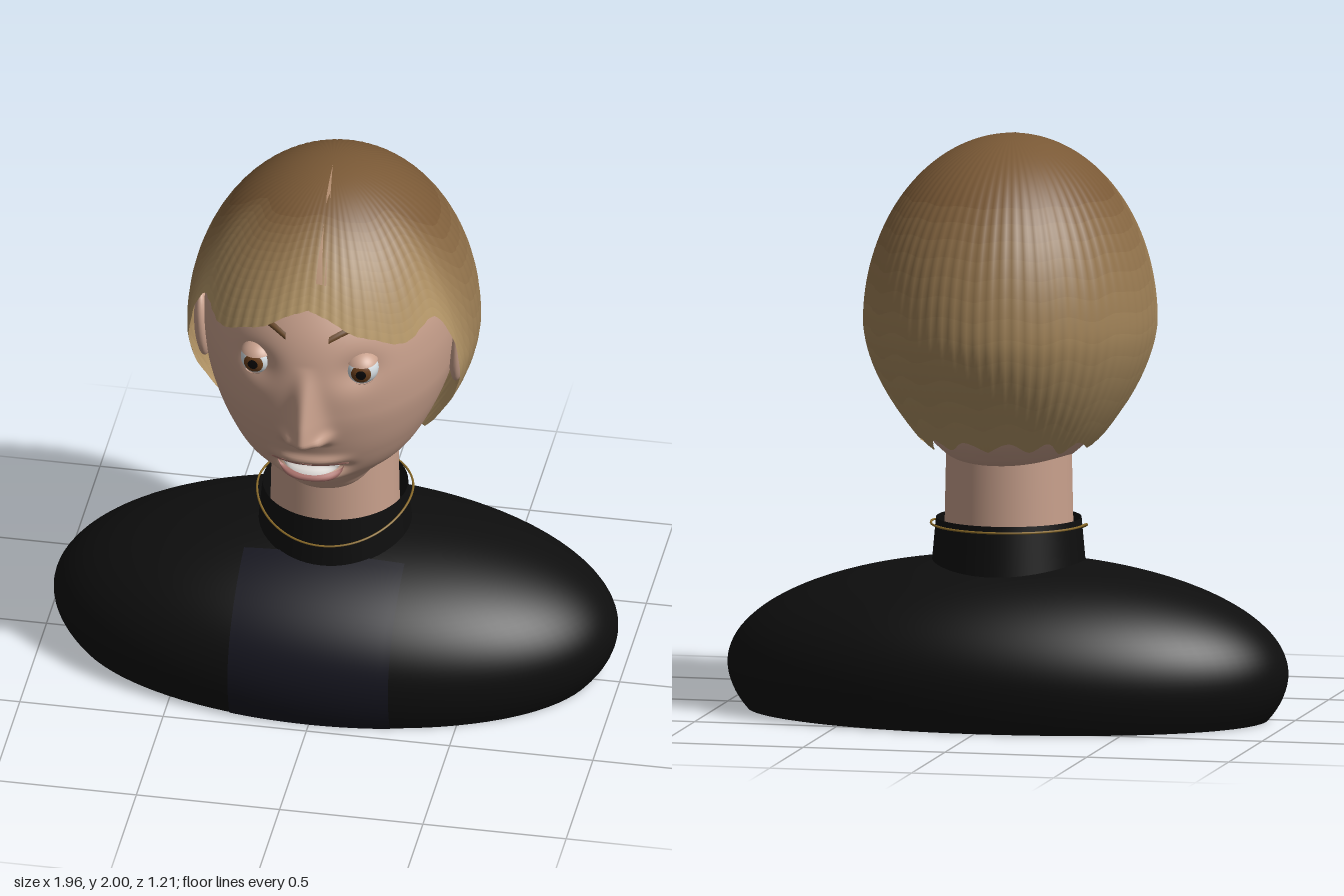
import * as THREE from 'three';

const { sin, cos, PI, exp, sqrt, max, min, abs } = Math;
const mat = (color) => new THREE.MeshStandardMaterial({ color, side: THREE.DoubleSide });
const SKIN = 0xc8a08c, BROWN = 0x6b4a2a, BLACK = 0x0e0e0e;

// Surface from a rule p(u, v); u runs to the right and v upwards as seen from outside
function surface(nu, nv, p, wrap = false) {
  const pos = [], idx = [], cols = wrap ? nu : nu + 1;
  for (let j = 0; j <= nv; j++)
    for (let i = 0; i < cols; i++) pos.push(...p(i / nu, j / nv));
  for (let j = 0; j < nv; j++)
    for (let i = 0; i < nu; i++) {
      const a = j * cols + i, b = j * cols + (i + 1) % cols;
      idx.push(a, b, b + cols, a, b + cols, a + cols);
    }
  const g = new THREE.BufferGeometry();
  g.setAttribute('position', new THREE.Float32BufferAttribute(pos, 3));
  g.setIndex(idx);
  g.computeVertexNormals();
  return g;
}

// Smooth interpolation of a table of rows [key, values...]
function table(rows) {
  return (k) => {
    let i = 0;
    while (i < rows.length - 2 && k > rows[i + 1][0]) i++;
    const A = rows[i], B = rows[i + 1], h = B[0] - A[0];
    const t = min(1, max(0, (k - A[0]) / h));
    const P = rows[max(0, i - 1)], N = rows[min(rows.length - 1, i + 2)];
    return A.slice(1).map((a, c) => {
      const b = B[c + 1];
      const m0 = (b - P[c + 1]) / (B[0] - P[0]) * h, m1 = (N[c + 1] - a) / (N[0] - A[0]) * h;
      return (2 * t ** 3 - 3 * t * t + 1) * a + (t ** 3 - 2 * t * t + t) * m0
        + (3 * t * t - 2 * t ** 3) * b + (t ** 3 - t * t) * m1;
    });
  };
}

// Head sections: height, half width, front z, back z
const section = table([
  [0.80, 0.02, 0.18, 0.14], [0.83, 0.12, 0.24, 0.03], [0.88, 0.19, 0.29, -0.24], [0.93, 0.25, 0.335, -0.33],
  [1.0, 0.31, 0.415, -0.39], [1.1, 0.365, 0.47, -0.455], [1.2, 0.405, 0.505, -0.51], [1.3, 0.43, 0.525, -0.54],
  [1.45, 0.44, 0.525, -0.55], [1.6, 0.42, 0.485, -0.51], [1.75, 0.35, 0.385, -0.4], [1.88, 0.23, 0.26, -0.27],
  [1.95, 0.1, 0.11, -0.11], [1.97, 0.01, 0.01, -0.01],
]);
const bell = (d, s) => exp(-((d / s) ** 2));

// Nose, eye sockets, lips and chin as relief on the face
function relief(x, y) {
  const ax = abs(x), r = min(1, max(0, (1.5 - y) / 0.27));
  const under = y < 1.23 ? max(0, 1 - ((1.23 - y) / 0.06) ** 2) : 1;
  const mouth = exp(-((x / 0.12) ** 4));
  return 0.095 * r ** 1.2 * under * bell(x, 0.03 + 0.025 * r)
    + 0.03 * bell(ax - 0.06, 0.025) * bell(y - 1.215, 0.025)
    - 0.025 * bell(ax - 0.175, 0.07) * bell(y - 1.47, 0.06)
    + mouth * (0.022 * bell(y - 1.09, 0.022) - 0.035 * bell(y - 1.045, 0.02) + 0.03 * bell(y - 0.99, 0.025))
    - 0.012 * bell(x, 0.12) * bell(y - 0.93, 0.02);
}
function headPoint(a, y) {
  const [w, f, b] = section(y), x = w * sin(a), c = cos(a);
  return [x, y, (f + b) / 2 + (f - b) / 2 * c + (c > 0 ? relief(x, y) * min(1, c * 2) : 0)];
}
function facePoint(x, y, lift) {
  const p = headPoint(Math.asin(x / section(y)[0]), y);
  p[2] += lift;
  return p;
}
// Patch lying on the face between two curves lo(x) and hi(x)
const facePatch = (x0, x1, lo, hi, lift, nu = 32) => surface(nu, 6, (u, v) => {
  const x = x0 + (x1 - x0) * u;
  return facePoint(x, lo(x) + (hi(x) - lo(x)) * v, lift + 0.005 * sin(PI * v));
});

// Lower edge of the hair: angle from the front in degrees, height
const hairEdge = table([
  [0, 1.7], [10, 1.67], [20, 1.62], [30, 1.59], [38, 1.56], [45, 1.555], [53, 1.585], [60, 1.585], [67, 1.475],
  [72, 1.316], [78, 1.157], [85, 0.99], [90, 0.96], [102, 0.935], [112, 0.955], [120, 0.965], [130, 0.93],
  [142, 0.975], [153, 0.945], [166, 0.98], [180, 0.945],
]);
function hairPoint(a, y) {
  const s = sqrt(max(0, 1 - ((y - 1.36) / 0.64) ** 2));
  const taper = 1 - 0.22 * (max(0, 1.36 - y) / 0.43) ** 1.6;
  const r = s * taper * (1 + 0.004 * sin(70 * a));
  return [0.5 * r * sin(a), y, -0.02 * s + 0.566 * r * cos(a)];
}

export function createModel() {
  const root = new THREE.Group();
  const add = (name, geo, color, parent = root) => {
    const m = new THREE.Mesh(geo, typeof color === 'number' ? mat(color) : color);
    m.name = name;
    parent.add(m);
    return m;
  };

  // Shoulders: an ellipsoid open at the base, with a front panel
  const low = Math.asin(0.16 / 0.43);
  add('torso', surface(96, 40, (u, v) => {
    const e = -low + (PI / 2 + low) * v, a = 2 * PI * u;
    return [0.98 * cos(e) * sin(a), 0.16 + (e < 0 ? 0.43 : 0.39) * sin(e), -0.055 + 0.55 * cos(e) * cos(a)];
  }, true), BLACK);
  add('frontPanel', surface(24, 30, (u, v) => {
    const x = -0.28 + 0.56 * u, q = sqrt(1 - (x / 0.98) ** 2), e0 = -Math.asin(0.16 / (0.43 * q));
    const e = e0 + (1.15 - e0) * v;
    return [x, 0.163 + (e < 0 ? 0.43 : 0.39) * q * sin(e) - 0.003 * (1 - v), -0.051 + 0.55 * q * cos(e)];
  }), 0x15151f);

  // Neck, collar and necklace
  add('neck', new THREE.CylinderGeometry(0.215, 0.225, 0.48, 64, 1, true), SKIN).position.set(0, 0.71, -0.04);
  add('collar', new THREE.CylinderGeometry(0.25, 0.268, 0.2, 64, 1, true), BLACK).position.set(0, 0.58, -0.043);
  const loop = [];
  for (let i = 0; i < 32; i++) {
    const a = i / 32 * 2 * PI;
    loop.push(new THREE.Vector3(0.268 * sin(a), 0.66 - 0.075 * max(0, cos(a)) ** 1.5, -0.04 + 0.27 * cos(a)));
  }
  add('necklace', new THREE.TubeGeometry(new THREE.CatmullRomCurve3(loop, true), 128, 0.004, 6, true), 0x8a6a28);

  // Head, with columns packed towards the face
  const head = new THREE.Group();
  head.name = 'head';
  root.add(head);
  add('face', surface(180, 150, (u, v) => {
    const t = 2 * PI * u;
    return headPoint(t - 0.55 * sin(t), 0.8 + 1.17 * v);
  }, true), SKIN, head);

  // Mouth
  const arc = (x, w) => sqrt(max(0, 1 - (x / w) ** 2));
  add('teeth', facePatch(-0.1, 0.1, (x) => 1.045 - 0.033 * arc(x, 0.1), (x) => 1.045 + 0.012 * arc(x, 0.1), 0.006), 0xe6e2de, head);
  add('upperLip', facePatch(-0.135, 0.135, (x) => 1.07 - 0.015 * arc(x, 0.135),
    (x) => 1.07 + 0.022 * arc(x, 0.135) - 0.008 * bell(x, 0.025), 0.004), 0xa8736a, head);
  add('lowerLip', facePatch(-0.115, 0.115, (x) => 1.045 - 0.075 * arc(x, 0.115), (x) => 1.045 - 0.033 * arc(x, 0.115), 0.004), 0xb57a74, head);

  // Eyes, brows and ears, mirrored
  for (const s of [1, -1]) {
    const eye = new THREE.Group();
    eye.name = s > 0 ? 'leftEye' : 'rightEye';
    eye.position.set(0.182 * s, 1.475, 0.435);
    eye.rotation.y = 0.12 * s;
    head.add(eye);
    add('eyeball', new THREE.SphereGeometry(0.058, 32, 20), 0xd5dde2, eye);
    const cap = (name, r, ang, color) => {
      add(name, new THREE.SphereGeometry(r, 32, 8, 0, 2 * PI, 0, ang), color, eye).rotation.x = PI / 2;
    };
    cap('iris', 0.0592, 0.62, 0x6a3f1c);
    cap('pupil', 0.0602, 0.3, 0x080606);
    add('upperLid', new THREE.SphereGeometry(0.065, 32, 12, 0, 2 * PI, 0, 1.0), SKIN, eye).rotation.x = 0.12;
    add('lowerLid', new THREE.SphereGeometry(0.062, 32, 10, 0, 2 * PI, PI - 0.75, 0.75), SKIN, eye);

    const browMid = (x) => 1.6 + 0.035 * sin(min(1, (abs(x) - 0.075) / 0.11) * PI / 2);
    add('brow', facePatch(s > 0 ? 0.075 : -0.235, s > 0 ? 0.235 : -0.075, (x) => browMid(x) - 0.012,
      (x) => browMid(x) + 0.01, 0.006, 20), BROWN, head);

    const ear = add('ear', new THREE.SphereGeometry(1, 24, 20), SKIN, head);
    ear.scale.set(0.03, 0.13, 0.06);
    ear.position.set(0.445 * s, 1.33, 0.04);
    ear.rotation.z = -0.06 * s;
  }

  // Bobbed hair, shaded from light tips to a dark crown in rows
  const NU = 280, NV = 60;
  const hair = surface(NU, NV, (u, v) => {
    const a = 2 * PI * u, edge = hairEdge(min(u, 1 - u) * 360)[0];
    return hairPoint(a, edge + (2 - edge) * sin(v * PI / 2));
  }, true);
  const shades = [], bands = 20, rows = NV / bands;
  const tip = new THREE.Color(0xb59768), crown = new THREE.Color(0x7a5936);
  for (let i = 0; i < bands; i++) {
    hair.addGroup(i * rows * NU * 6, rows * NU * 6, i);
    shades.push(mat(tip.clone().lerp(crown, min(1, i / 12))));
  }
  add('hair', hair, shades, head);

  // Parting: a thin tapering strip over the crown
  add('hairParting', surface(4, 32, (u, v) => {
    const t = 1 - v, z = 0.41 * t, x = 0.035 * t + (u - 0.5) * 0.036 * t;
    return [x, 1.364 + 0.64 * sqrt(1 - (x / 0.5) ** 2 - ((z + 0.02) / 0.566) ** 2), z + 0.003];
  }), 0xb08a6c, head);

  return root;
}
